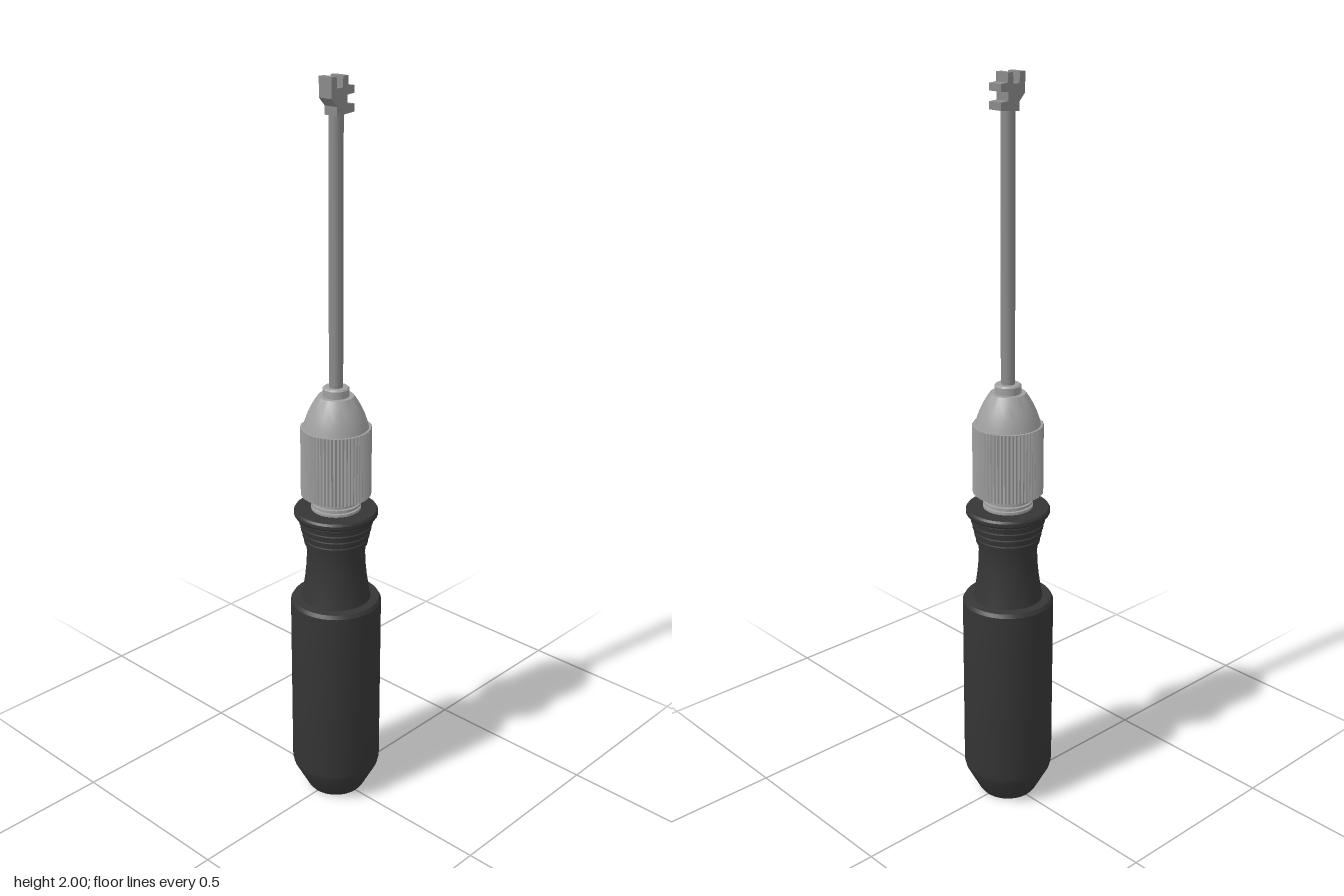
import * as THREE from 'three';
import { toCreasedNormals } from 'three/addons/utils/BufferGeometryUtils.js';

const rubber = new THREE.MeshStandardMaterial({ color: 0x363636 });
rubber.name = 'darkRubber';
const metal = new THREE.MeshStandardMaterial({ color: 0xa0a0a0 });
metal.name = 'lightMetal';
const steel = new THREE.MeshStandardMaterial({ color: 0x8a8a8a });
steel.name = 'shaftSteel';

export function createModel() {
  const model = new THREE.Group();
  model.name = 'handTool';

  function add(name, geometry, material) {
    const mesh = new THREE.Mesh(geometry, material);
    mesh.name = name;
    model.add(mesh);
    return mesh;
  }
  // Turned part from [radius, height] pairs, bottom to top
  function turned(name, points, material, sides = 40) {
    const profile = points.map(([r, y]) => new THREE.Vector2(r, y));
    return add(name, toCreasedNormals(new THREE.LatheGeometry(profile, sides), 0.5), material);
  }

  // Grip with tapered butt
  turned('grip', [[0, 0], [0.077, 0], [0.083, 0.008], [0.12, 0.078], [0.124, 0.095],
    [0.124, 0.6], [0.118, 0.61], [0.09, 0.612]], rubber);

  // Waisted neck
  turned('neck', [[0.096, 0.605], [0.09, 0.635], [0.084, 0.675], [0.08, 0.715],
    [0.079, 0.75], [0.083, 0.785]], rubber);

  // Stepped rings below the flange
  const rings = [[0.08, 0.775]];
  for (let i = 0; i < 4; i++) {
    const r = 0.086 + i * 0.0045, y = 0.775 + i * 0.02;
    rings.push([r, y], [r + 0.002, y + 0.015], [r - 0.002, y + 0.017], [r - 0.002, y + 0.02]);
  }
  turned('neckRings', rings, rubber);
  turned('flange', [[0.095, 0.853], [0.109, 0.855], [0.113, 0.861], [0.113, 0.87],
    [0.109, 0.876], [0, 0.876]], rubber);

  // Threaded collar between flange and chuck
  const thread = [[0.06, 0.874]];
  for (let i = 0; i < 4; i++) {
    const y = 0.876 + i * 0.012;
    thread.push([0.067, y], [0.067, y + 0.007], [0.061, y + 0.008], [0.061, y + 0.012]);
  }
  turned('threadedCollar', thread, metal);

  // Finely knurled chuck sleeve
  const outline = [];
  const teeth = 60;
  for (let i = 0; i < teeth * 2; i++) {
    const a = (i / (teeth * 2)) * Math.PI * 2, r = i % 2 ? 0.0905 : 0.094;
    outline.push(new THREE.Vector2(Math.cos(a) * r, Math.sin(a) * r));
  }
  const sleeve = new THREE.ExtrudeGeometry(new THREE.Shape(outline), { depth: 0.19, bevelEnabled: false });
  sleeve.rotateX(-Math.PI / 2).translate(0, 0.918, 0);
  add('chuckSleeve', sleeve, metal);

  // Rounded chuck nose and its end ring
  turned('chuckNose', [[0.087, 1.105], [0.083, 1.122], [0.076, 1.142], [0.067, 1.162],
    [0.057, 1.18], [0.047, 1.195], [0, 1.195]], metal);
  turned('noseRing', [[0.035, 1.19], [0.035, 1.215], [0.031, 1.219], [0, 1.219]], metal, 32);

  // Slim shaft
  turned('shaft', [[0.0185, 1.21], [0.0185, 1.915], [0, 1.915]], steel, 24);

  // Forked tip with two upward and two sideways prongs
  const tip = new THREE.Shape([
    [-0.018, 1.908], [0.042, 1.913], [0.042, 1.932], [0.018, 1.934], [0.018, 1.955],
    [0.042, 1.957], [0.042, 1.975], [0.02, 1.977], [0.02, 2], [0.003, 2],
    [0.001, 1.973], [-0.018, 1.973], [-0.02, 2], [-0.037, 2], [-0.037, 1.95], [-0.018, 1.93],
  ].map(([x, y]) => new THREE.Vector2(x, y)));
  const tipGeometry = new THREE.ExtrudeGeometry(tip, { depth: 0.042, bevelEnabled: false });
  tipGeometry.translate(0, 0, -0.021);
  add('forkedTip', tipGeometry, steel);

  return model;
}
